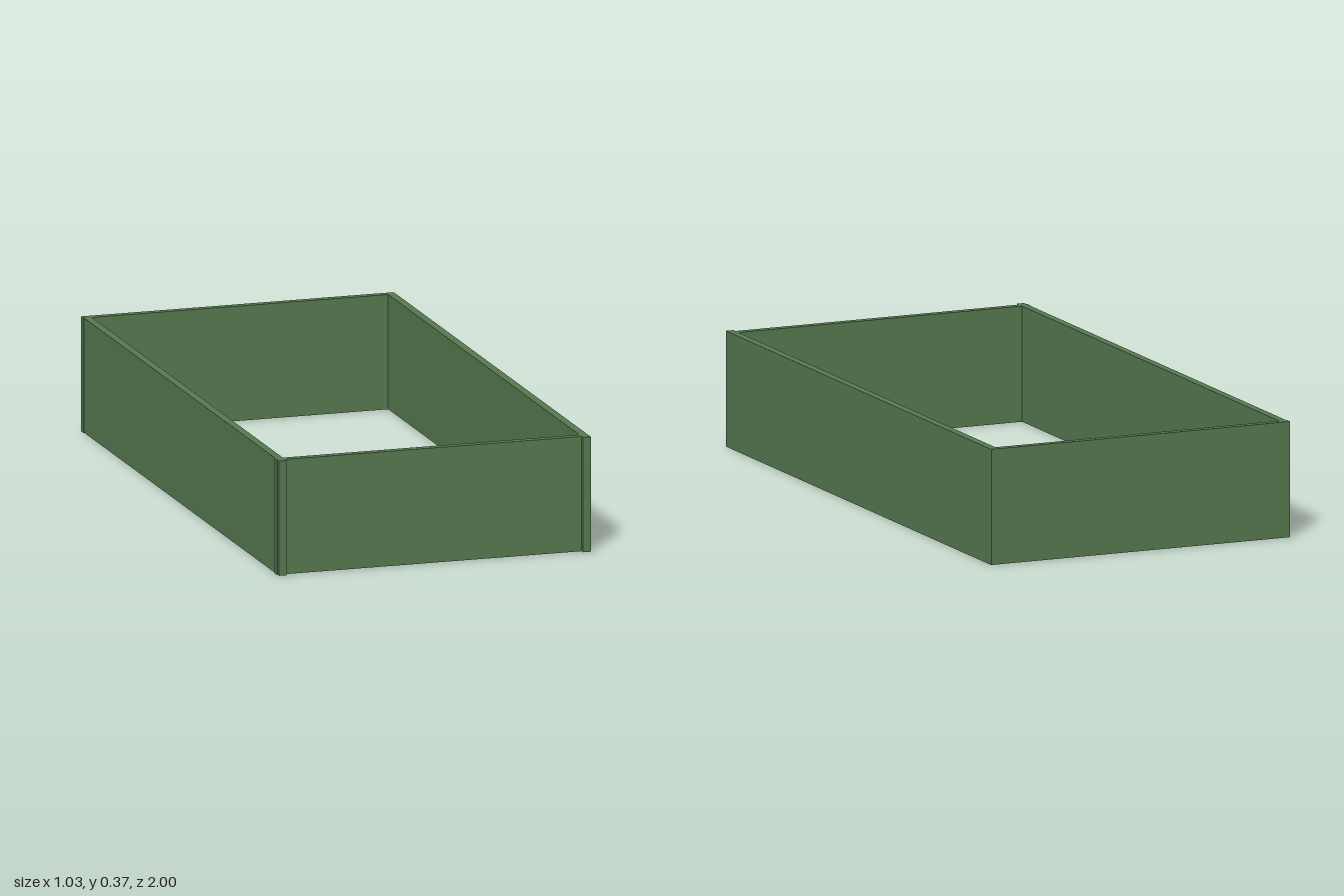
import * as THREE from 'three';

const HEIGHT = 0.37;

export function createModel() {
  const group = new THREE.Group();
  group.name = 'openPlanterFrame';
  const material = new THREE.MeshStandardMaterial({ color: 0x55784f });

  // Upright board filling the given x and z ranges
  function board(name, x0, x1, z0, z1) {
    const mesh = new THREE.Mesh(new THREE.BoxGeometry(x1 - x0, HEIGHT, z1 - z0), material);
    mesh.position.set((x0 + x1) / 2, HEIGHT / 2, (z0 + z1) / 2);
    mesh.name = name;
    group.add(mesh);
  }

  // Long side boards
  board('leftBoard', 0.489, 0.515, -0.999, 1);
  board('rightBoard', -0.512, -0.487, -0.999, 1);

  // End boards: the back one closes the frame, the front one is slightly recessed
  board('backBoard', -0.515, 0.514, -1, -0.976);
  board('frontBoard', -0.515, 0.51, 0.96, 0.985);

  return group;
}
